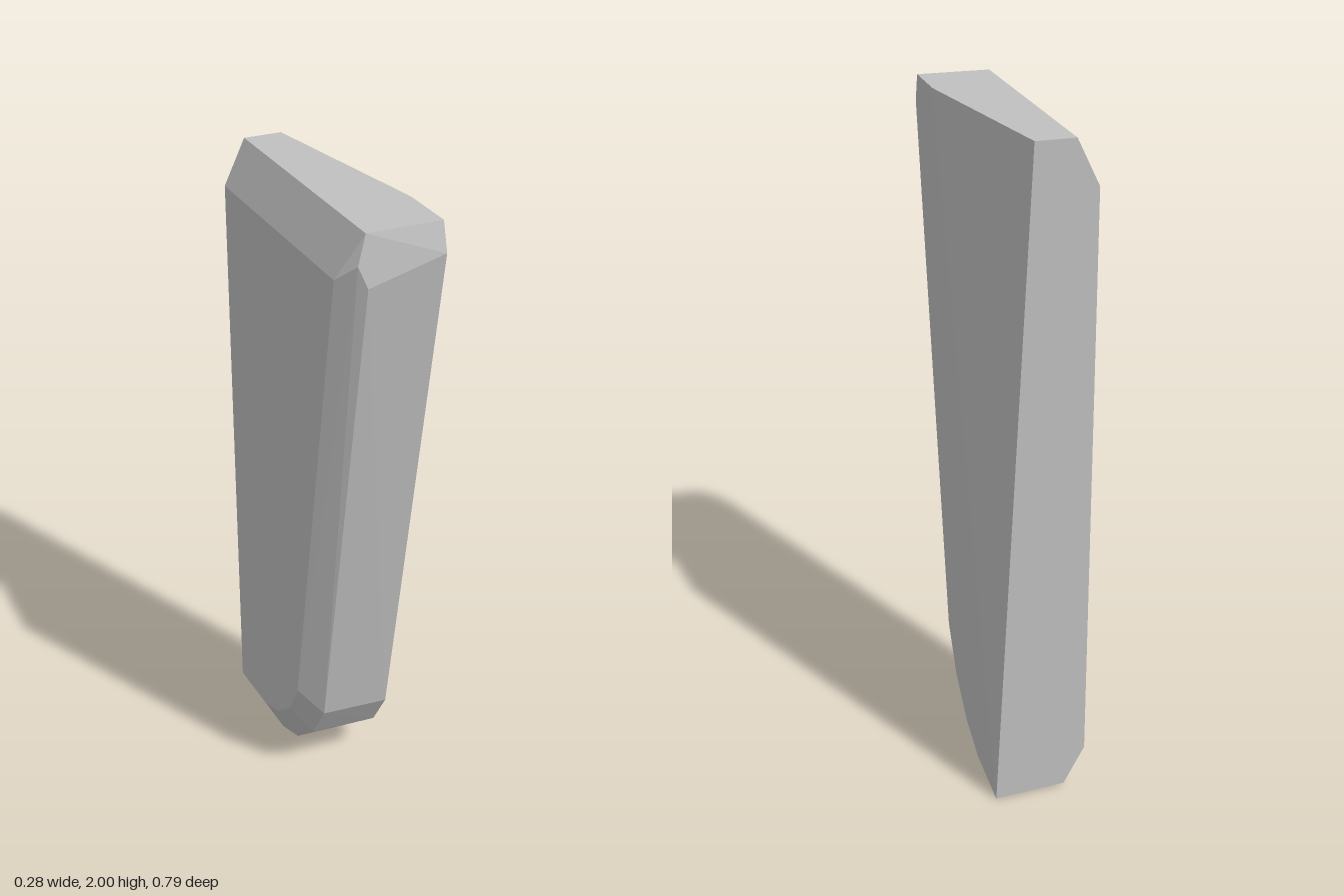
import * as THREE from 'three';
import { ConvexGeometry } from 'three/addons/geometries/ConvexGeometry.js';

export function createModel() {
  const model = new THREE.Group();
  const stone = new THREE.MeshStandardMaterial({ color: 0xc0c0c0 });
  stone.name = 'grey stone';

  // Outlines as [z, y], each with its x position
  const flatSide = [[-0.395, 0], [-0.2, 0.012], [-0.07, 0.065], [0.045, 0.165], [0.125, 0.3],
    [0.395, 1.92], [0.372, 2], [0.2, 2]];
  const rim = [[-0.395, 0.01], [-0.2, 0.02], [-0.08, 0.07], [0.04, 0.18], [0.125, 0.32],
    [0.386, 1.86], [0.368, 2], [-0.395, 2]];
  const bevelledSide = [[-0.395, 0.13], [-0.2, 0.145], [-0.1, 0.185], [0, 0.27], [0.065, 0.39],
    [0.32, 1.87], [-0.395, 1.87]];
  const place = (outline, x) => outline.map(([z, y]) => new THREE.Vector3(x, y, z));

  const points = [
    ...place(flatSide, 0.137),
    // the upper back corner is cut away
    new THREE.Vector3(0.036, 2, -0.395),
    ...place(rim, -0.076),
    // small chip on the upper front corner
    new THREE.Vector3(-0.1, 1.92, 0.376),
    ...place(bevelledSide, -0.139),
  ];

  const slab = new THREE.Mesh(new ConvexGeometry(points), stone);
  slab.name = 'slab';
  model.add(slab);
  return model;
}
